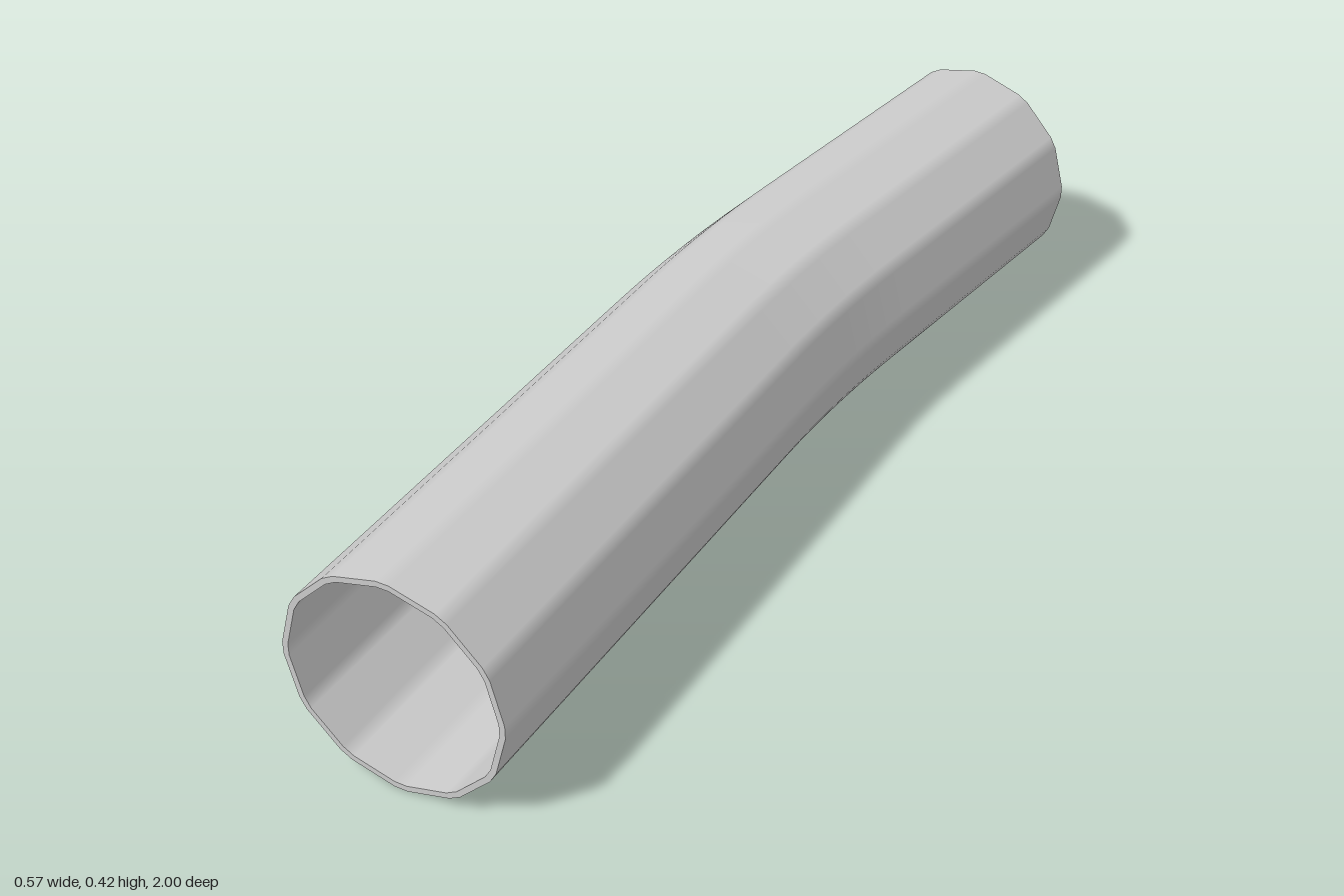
import * as THREE from 'three';

const OUTER = 0.21, INNER = 0.199, SIDES = 12, BEND = THREE.MathUtils.degToRad(7.5);

// Stations along the centre line: straight, gentle arc, straight
function stations() {
  const cornerX = -0.077, cornerZ = -0.212, reach = 0.2, steps = 8;
  const radius = reach / Math.tan(BEND / 2);
  const list = [{ x: cornerX, z: -1, t: 0 }];
  for (let i = 0; i <= steps; i++) {
    const t = BEND * i / steps;
    list.push({
      x: cornerX + radius * (1 - Math.cos(t)),
      z: cornerZ - reach + radius * Math.sin(t),
      t,
    });
  }
  list.push({ x: 0.079, z: 0.9726, t: BEND });
  return list;
}

// Twelve-sided section with small softened corners; normals follow the flats
function ring(s, r) {
  const place = (a, k) => new THREE.Vector3(
    Math.cos(a) * Math.cos(s.t) * k, Math.sin(a) * k, -Math.cos(a) * Math.sin(s.t) * k);
  const out = [];
  for (let i = 0; i <= SIDES; i++) {
    const corner = i * 2 * Math.PI / SIDES;
    for (const side of [-1, 1]) {
      const a = corner + side * THREE.MathUtils.degToRad(3.4);
      const rr = r / Math.cos(a - corner);
      out.push({
        p: place(a, rr).add(new THREE.Vector3(s.x, OUTER, s.z)),
        n: place(corner + side * Math.PI / SIDES, 1),
      });
    }
  }
  return out;
}

// Skin between successive rings
function skin(rings, normalOf) {
  const pos = [], nor = [], idx = [], w = rings[0].length;
  rings.forEach((loop, i) => loop.forEach((v, j) => {
    pos.push(...v.p.toArray());
    nor.push(...normalOf(v).toArray());
    if (i < rings.length - 1 && j < w - 1) {
      const a = i * w + j, d = a + w;
      idx.push(a, a + 1, d, a + 1, d + 1, d);
    }
  }));
  const g = new THREE.BufferGeometry();
  g.setAttribute('position', new THREE.Float32BufferAttribute(pos, 3));
  g.setAttribute('normal', new THREE.Float32BufferAttribute(nor, 3));
  g.setIndex(idx);
  return g;
}

export function createModel() {
  const group = new THREE.Group();
  group.name = 'bentPipe';
  const material = new THREE.MeshStandardMaterial({ color: 0xcccccc });
  const add = (name, geometry) => {
    const mesh = new THREE.Mesh(geometry, material);
    mesh.name = name;
    group.add(mesh);
  };

  const path = stations(), last = path.length - 1;
  const outer = path.map((s) => ring(s, OUTER));
  const inner = path.map((s) => ring(s, INNER));
  const forward = new THREE.Vector3(Math.sin(BEND), 0, Math.cos(BEND));
  const back = new THREE.Vector3(0, 0, -1);

  // Pipe walls
  add('outerWall', skin(outer, (v) => v.n));
  add('innerWall', skin([...inner].reverse(), (v) => v.n.clone().negate()));
  // Rims closing the wall thickness at both open ends
  add('frontRim', skin([outer[last], inner[last]], () => forward));
  add('backRim', skin([inner[0], outer[0]], () => back));
  return group;
}
